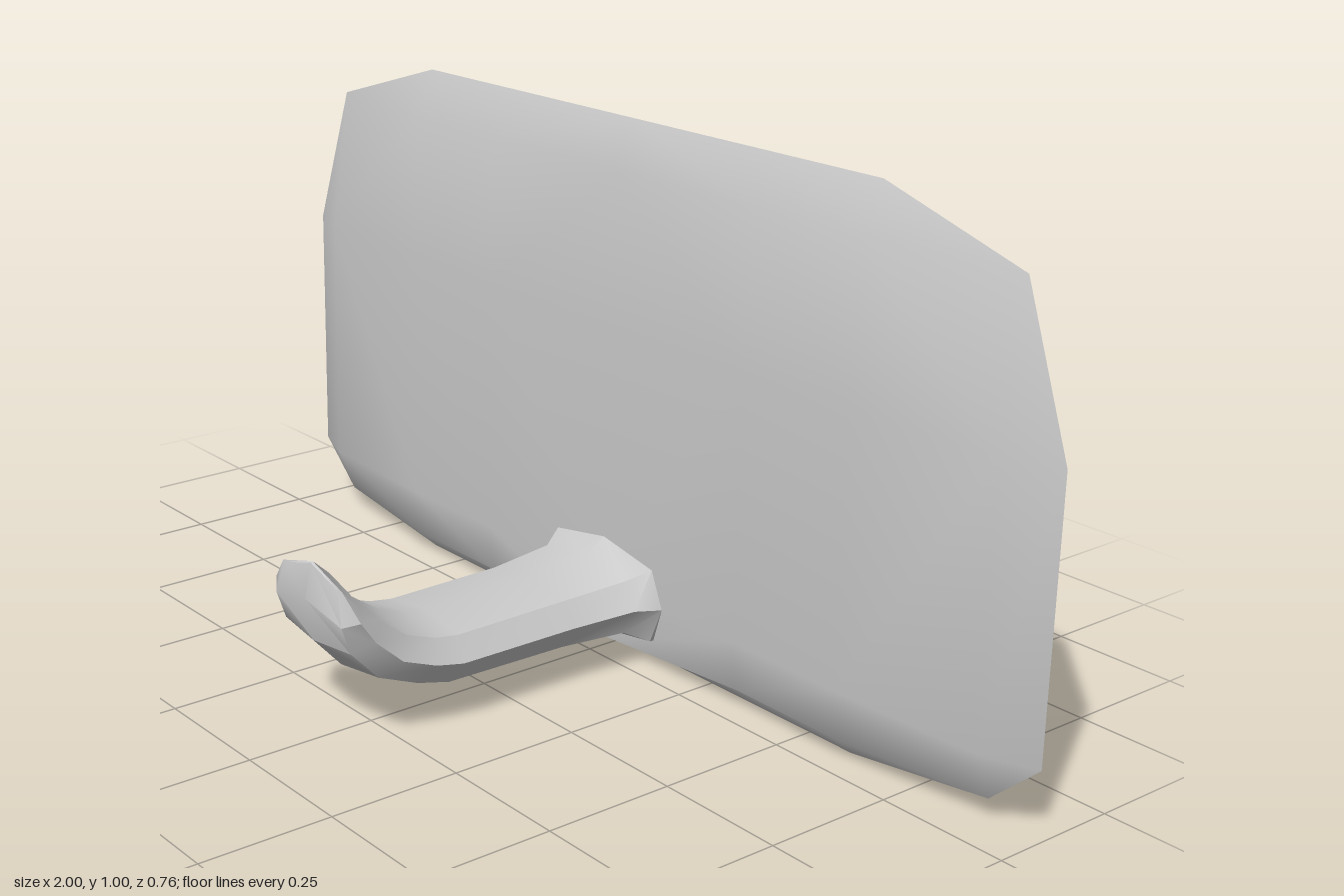
import * as THREE from 'three';
import { toCreasedNormals } from 'three/addons/utils/BufferGeometryUtils.js';

const material = new THREE.MeshStandardMaterial({ color: 0xcccccc });

// Collects triangles, skipping collapsed ones, and creases the sharp edges.
function buildMesh(name, crease, fill) {
  const out = [];
  const tri = (a, b, c) => {
    const area = b.clone().sub(a).cross(c.clone().sub(a)).length();
    if (area > 1e-7) for (const p of [a, b, c]) out.push(p.x, p.y, p.z);
  };
  const quad = (a, b, c, d) => { tri(a, b, c); tri(a, c, d); };
  fill(tri, quad);
  const geometry = new THREE.BufferGeometry();
  geometry.setAttribute('position', new THREE.Float32BufferAttribute(out, 3));
  const mesh = new THREE.Mesh(toCreasedNormals(geometry, crease), material);
  mesh.name = name;
  return mesh;
}

// Wide plate: two shallow pillowed faces meeting at a sharp rim.
function createPlate() {
  const zMid = -0.33;
  const xs = [-1, -0.9, -0.6, -0.35, 0, 0.35, 0.6, 0.9, 1];
  const rows = [0, 0.035, 0.13, 0.63, 0.91, 1];
  const rowDepth = [0, 0.037, 0.05, 0.05, 0.037, 0];

  const point = (i, j, side) => {
    const x = xs[i], ax = Math.abs(x);
    const low = ax === 1 ? 0.13 : ax === 0.9 ? 0.04 : 0;
    const high = ax === 1 ? 0.63 : ax === 0.9 ? 0.91 : 1;
    let y = THREE.MathUtils.clamp(rows[j], low, high);
    const columnDepth = ax === 1 ? 0 : ax === 0.9 ? 0.037 : 0.05;
    let depth = Math.min(rowDepth[j], columnDepth);
    if (ax === 0.9 && (j < 2 || j > 3)) depth = 0;
    // slight dip of the front lower edge below the hook
    if (x === 0 && j === 1 && side > 0) y = 0.012;
    return new THREE.Vector3(x, y, zMid + side * depth);
  };

  return buildMesh('plate', 0.7, (tri, quad) => {
    for (const side of [1, -1]) {
      for (let i = 0; i < xs.length - 1; i++) {
        for (let j = 0; j < rows.length - 1; j++) {
          const a = point(i, j, side), b = point(i + 1, j, side);
          const c = point(i + 1, j + 1, side), d = point(i, j + 1, side);
          // mirrored diagonals keep the corners symmetric
          const flip = (xs[i] + xs[i + 1] > 0) === (j > 2);
          if (side > 0) flip ? quad(b, c, d, a) : quad(a, b, c, d);
          else flip ? quad(b, a, d, c) : quad(a, d, c, b);
        }
      }
    }
  });
}

// Hook: an eight-sided bar swept forward from a flared root to an upturned tip.
function createHook() {
  // top z, top y, bottom z, bottom y, edge half-width, middle half-width
  const stations = [
    [-0.31, 0.22, -0.31, 0.035, 0.135, 0.165],
    [-0.28, 0.22, -0.28, 0.035, 0.135, 0.165],
    [-0.235, 0.195, -0.235, 0.062, 0.112, 0.142],
    [-0.1, 0.185, -0.1, 0.068, 0.1, 0.13],
    [0.13, 0.182, 0.155, 0.072, 0.1, 0.13],
    [0.175, 0.188, 0.225, 0.09, 0.1, 0.13],
    [0.23, 0.207, 0.31, 0.125, 0.1, 0.13],
    [0.285, 0.245, 0.365, 0.185, 0.1, 0.13],
    [0.33, 0.3, 0.38, 0.265, 0.1, 0.13],
    [0.363, 0.33, 0.367, 0.328, 0.08, 0.09],
  ];
  const rings = stations.map(([tz, ty, bz, by, edge, mid], k) => {
    const last = k === stations.length - 1;
    const at = (x, t) => {
      // the outer corners sit lower on the rounded end
      const drop = k === 8 ? 0.025 * Math.min(1, Math.abs(x) / 0.1) : last && x ? 0.025 : 0;
      return new THREE.Vector3(x, ty + (by - ty) * t - drop, tz + (bz - tz) * t);
    };
    return [at(0, 0), at(edge, 0.13), at(mid, 0.5), at(edge, 0.89),
      at(0, 1), at(-edge, 0.89), at(-mid, 0.5), at(-edge, 0.13)];
  });
  return buildMesh('hook', 0.55, (tri, quad) => {
    for (let k = 0; k < rings.length - 1; k++) {
      for (let i = 0; i < 8; i++) {
        const n = (i + 1) % 8;
        quad(rings[k][i], rings[k + 1][i], rings[k + 1][n], rings[k][n]);
      }
    }
    // end caps
    const first = rings[0], last = rings[rings.length - 1];
    for (let i = 1; i < 7; i++) {
      tri(first[0], first[i], first[i + 1]);
      tri(last[0], last[i + 1], last[i]);
    }
  });
}

export function createModel() {
  const model = new THREE.Group();
  model.name = 'wallHook';
  model.add(createPlate(), createHook());
  return model;
}
